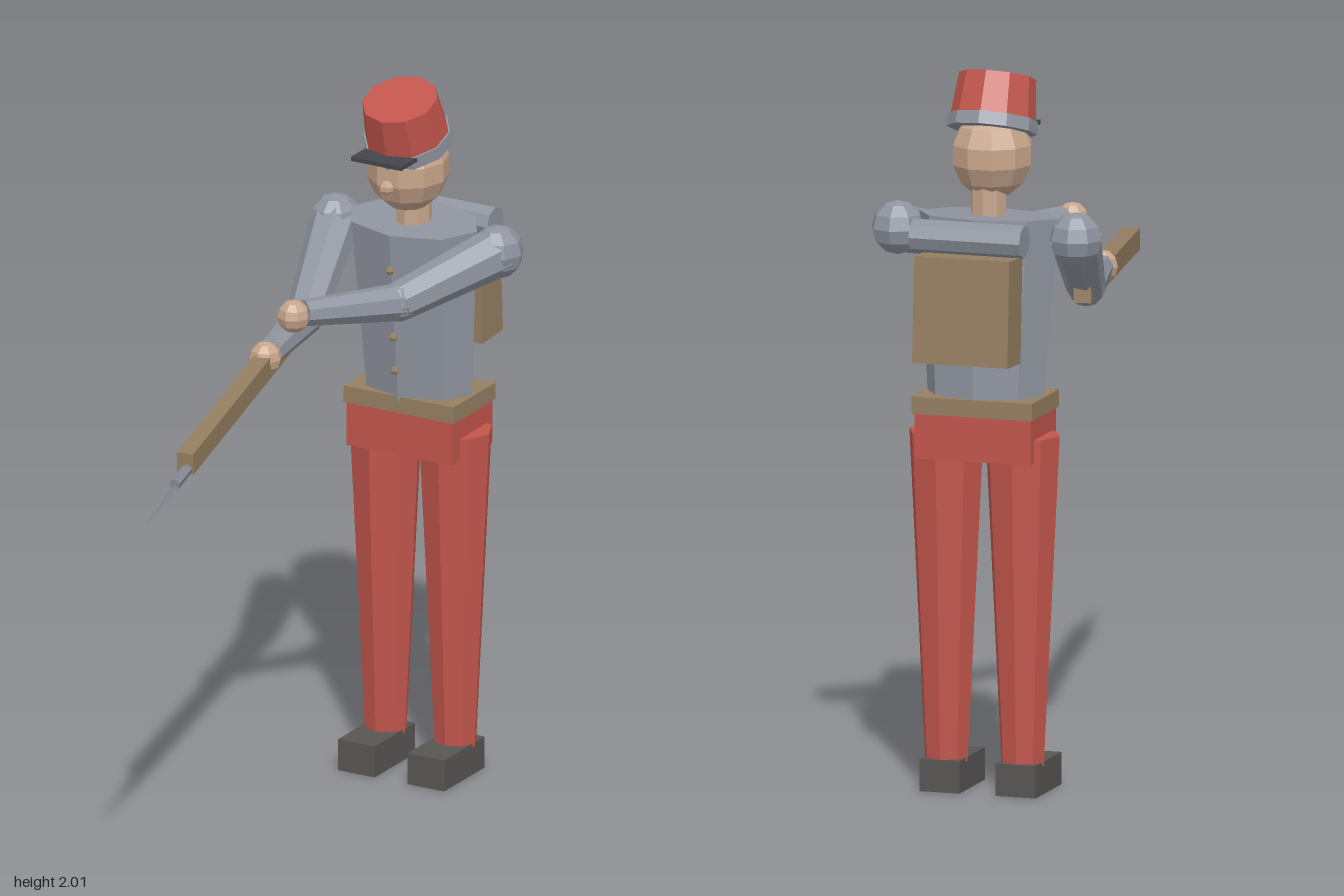
import * as THREE from 'three';

const V = (x, y, z) => new THREE.Vector3(x, y, z);

export function createModel() {
  const model = new THREE.Group();
  const mat = (name, color) => {
    const m = new THREE.MeshStandardMaterial({ color, flatShading: true });
    m.name = name;
    return m;
  };
  const red = mat('red cloth', 0xc2564c);
  const coat = mat('grey coat', 0x8f949f);
  const skin = mat('skin', 0xc8a68c);
  const leather = mat('leather', 0x957f61);
  const wood = mat('wood', 0x957e60);
  const boot = mat('boot', 0x575653);
  const dark = mat('visor', 0x45464b);
  const steel = mat('steel', 0x858a94);

  const add = (name, geo, material, pos = V(0, 0, 0), parent = model) => {
    const mesh = new THREE.Mesh(geo, material);
    mesh.name = name;
    mesh.position.copy(pos);
    parent.add(mesh);
    return mesh;
  };
  const box = (w, h, d) => new THREE.BoxGeometry(w, h, d);
  const ball = (r, w = 8, h = 6) => new THREE.SphereGeometry(r, w, h);
  // Turns a mesh whose length runs along y so it points from a to b
  const aim = (mesh, a, b) => {
    mesh.position.copy(a).add(b).multiplyScalar(0.5);
    mesh.quaternion.setFromUnitVectors(V(0, 1, 0), b.clone().sub(a).normalize());
    return mesh;
  };
  const limb = (name, a, b, ra, rb, material, sides = 8) =>
    aim(add(name, new THREE.CylinderGeometry(rb, ra, a.distanceTo(b), sides), material), a, b);

  // Legs and shoes
  for (const [side, s] of [['left', 1], ['right', -1]]) {
    const leg = add(side + 'Leg', new THREE.CylinderGeometry(0.107, 0.061, 0.92, 8), red, V(s * 0.11, 0.54, -0.72));
    leg.scale.z = 0.9;
    add(side + 'Shoe', box(0.116, 0.09, 0.22), boot, V(s * 0.11, 0.045, -0.67));
  }

  // Hips and belt
  add('hips', box(0.335, 0.13, 0.22), red, V(0, 1.0, -0.714));
  add('belt', box(0.348, 0.048, 0.23), leather, V(0, 1.084, -0.714));

  // Torso, leaning slightly forward, with buttons
  const torso = add('torso', new THREE.CylinderGeometry(0.2, 0.167, 0.51, 8), coat, V(0, 1.345, -0.697));
  torso.scale.z = 0.67;
  torso.rotation.x = 0.055;
  for (let i = 0; i < 4; i++) {
    const y = 1.19 + i * 0.1;
    add('button', ball(0.013, 6, 4), leather, V(0, y, -0.579 + i * 0.009));
  }

  // Neck, head and nose
  add('neck', new THREE.CylinderGeometry(0.05, 0.05, 0.12, 8), skin, V(0, 1.63, -0.683));
  const head = add('head', ball(1, 10, 7), skin, V(0, 1.765, -0.653));
  head.scale.set(0.114, 0.125, 0.12);
  add('nose', ball(0.021, 6, 5), skin, V(0, 1.737, -0.535));

  // Cap, tipped forward
  const cap = new THREE.Group();
  cap.name = 'cap';
  cap.position.set(0, 1.85, -0.65);
  cap.rotation.x = 0.34;
  model.add(cap);
  add('crown', new THREE.CylinderGeometry(0.106, 0.119, 0.13, 10), red, V(0, 0.064, 0), cap);
  add('capBand', new THREE.CylinderGeometry(0.123, 0.125, 0.036, 10), coat, V(0, -0.004, 0), cap);
  add('visor', box(0.16, 0.012, 0.13), dark, V(0, 1.825, -0.543));

  // Arms reaching forward to the rifle
  const arms = {
    left: [V(0.26, 1.55, -0.692), V(0.115, 1.468, -0.4), V(-0.035, 1.49, -0.145), V(-0.05, 1.488, -0.115)],
    right: [V(-0.255, 1.548, -0.695), V(-0.195, 1.363, -0.43), V(-0.135, 1.36, -0.13), V(-0.13, 1.357, -0.1)],
  };
  for (const [side, [shoulder, elbow, wrist, hand]] of Object.entries(arms)) {
    add(side + 'Shoulder', ball(0.075), coat, shoulder);
    limb(side + 'UpperArm', shoulder, elbow, 0.07, 0.054, coat);
    add(side + 'Elbow', ball(0.054), coat, elbow);
    limb(side + 'Forearm', elbow, wrist, 0.053, 0.037, coat);
    add(side + 'Hand', ball(0.046), skin, hand);
  }

  // Rifle and bayonet
  const butt = V(-0.225, 1.372, -0.55), muzzle = V(0.02, 1.298, 0.595);
  const stock = add('rifleStock', box(0.048, 0.06, butt.distanceTo(muzzle)), wood,
    butt.clone().add(muzzle).multiplyScalar(0.5));
  stock.lookAt(muzzle);
  limb('rifleBarrel', V(0.005, 1.287, 0.5), V(0.047, 1.274, 0.7), 0.016, 0.016, steel, 6);
  limb('bayonet', V(0.033, 1.266, 0.625), V(0.095, 1.245, 0.925), 0.015, 0.001, steel, 4);

  // Backpack with a blanket roll on top
  const pack = add('backpack', box(0.275, 0.295, 0.113), leather, V(0, 1.367, -0.868));
  pack.rotation.x = 0.055;
  const roll = V(0, 1.563, -0.853);
  limb('blanketRoll', roll.clone().setX(-0.16), roll.clone().setX(0.16), 0.046, 0.046, coat);

  return model;
}
